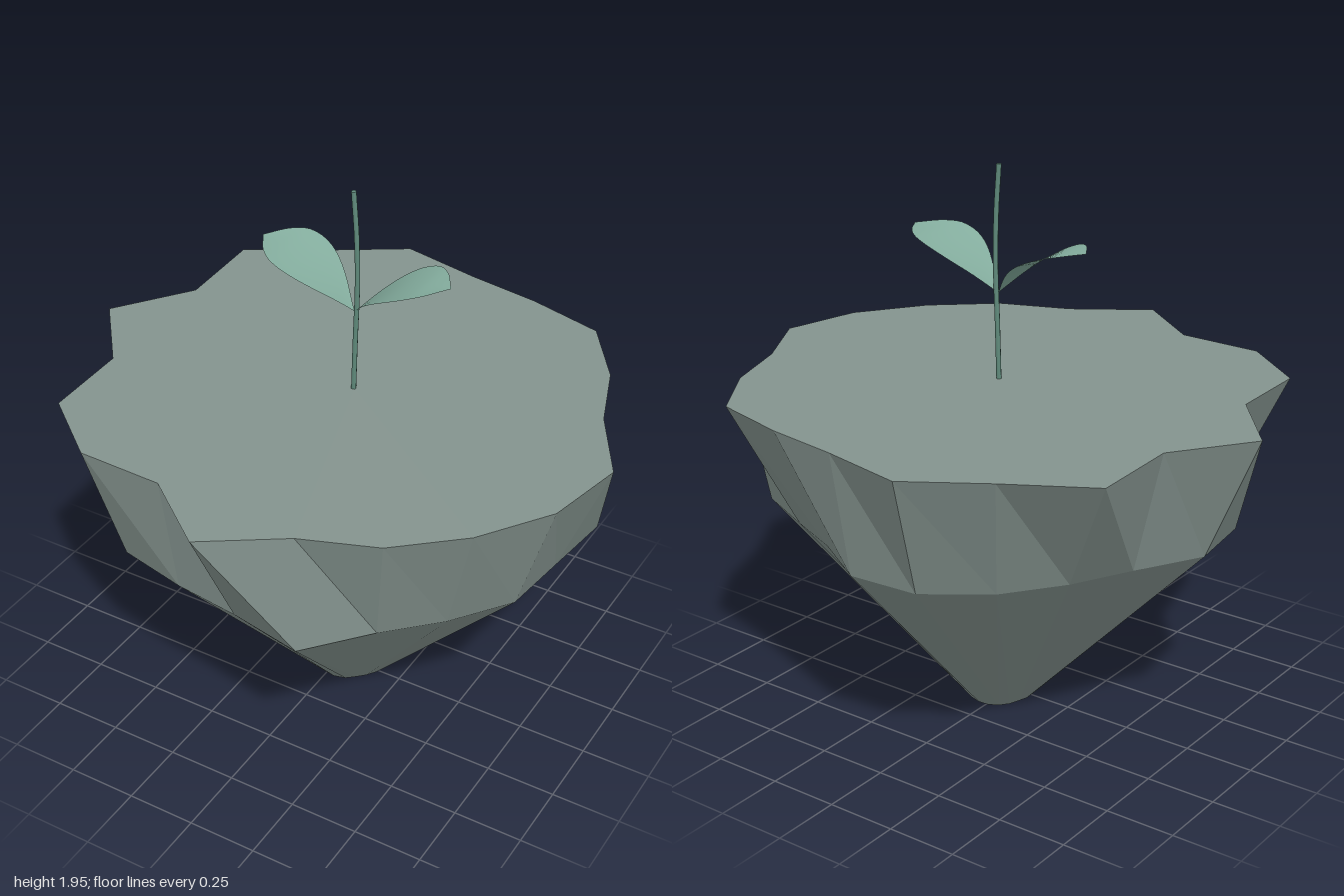
import * as THREE from 'three';

const CX = 0.035, CZ = -0.03; // axis of the island

const mat = (name, color, opts = {}) => new THREE.MeshStandardMaterial({ name, color, ...opts });

function part(name, geometry, material) {
  const mesh = new THREE.Mesh(geometry, material);
  mesh.name = name;
  return mesh;
}

// Radii of the jagged rings, one per 18 degrees starting at +x and turning to +z
const RIM = [0.965, 0.95, 0.912, 0.893, 0.862, 0.998, 0.838, 0.972, 1.005, 0.865,
  1.035, 0.883, 1.057, 0.97, 1.0, 0.884, 0.883, 0.944, 0.889, 0.853];
const SHOULDER = [0.79, 0.80, 0.76, 0.76, 0.868, 0.773, 0.78, 0.845, 0.785, 0.849,
  0.842, 0.75, 0.75, 0.787, 0.825, 0.80, 0.70, 0.713, 0.80, 0.865];
const FOOT = [0.13, 0.13, 0.125, 0.125, 0.135, 0.14, 0.14, 0.15, 0.14, 0.13,
  0.125, 0.12, 0.125, 0.13, 0.13, 0.125, 0.12, 0.12, 0.125, 0.13];

const ring = (radii, y) => radii.map((r, i) => {
  const a = (i / radii.length) * Math.PI * 2;
  return [CX + r * Math.cos(a), y, CZ + r * Math.sin(a)];
});

// Faceted rock: three rings, a flat top and a small flat foot
function rockGeometry() {
  const rings = [ring(FOOT, 0), ring(SHOULDER, 0.75), ring(RIM, 1.2)];
  const n = RIM.length;
  const pos = [];
  for (let i = 0; i < n; i++) {
    const j = (i + 1) % n;
    for (let k = 0; k < 2; k++) {
      const lo = rings[k], up = rings[k + 1];
      pos.push(...lo[j], ...lo[i], ...up[j], ...lo[i], ...up[i], ...up[j]);
    }
    pos.push(CX, 1.2, CZ, ...rings[2][j], ...rings[2][i]);
    pos.push(CX, 0, CZ, ...rings[0][i], ...rings[0][j]);
  }
  const g = new THREE.BufferGeometry();
  g.setAttribute('position', new THREE.Float32BufferAttribute(pos, 3));
  g.computeVertexNormals();
  return g;
}

// Pointed leaf: a plane bent along an arching spine and narrowed to both ends
function leafGeometry(side) {
  const spine = new THREE.CatmullRomCurve3([
    [0, 1.505], [0.08, 1.583], [0.165, 1.643], [0.25, 1.68], [0.31, 1.692], [0.357, 1.697],
  ].map(([x, y]) => new THREE.Vector3(CX + side * x, y, CZ)));
  const g = new THREE.PlaneGeometry(1, 1, 20, 8);
  const p = g.attributes.position;
  for (let i = 0; i < p.count; i++) {
    const t = p.getX(i) + 0.5, v = p.getY(i) * 2;
    const c = spine.getPoint(side > 0 ? t : 1 - t);
    const w = 0.135 * Math.pow(Math.max(0, Math.sin(Math.PI * t)), 1.1);
    p.setXYZ(i, c.x, c.y + 0.008 * v * v * Math.sin(Math.PI * t), c.z - v * w);
  }
  g.computeVertexNormals();
  return g;
}

export function createModel() {
  const rock = mat('rock grey', 0x84938e, { flatShading: true });
  const stemGreen = mat('stem green', 0x5f8a7b);
  const leafGreen = mat('leaf green', 0x84ad9e, { side: THREE.DoubleSide });

  const model = new THREE.Group();
  model.name = 'islandWithSprout';
  model.add(part('rock', rockGeometry(), rock));

  // Sprout
  const sprout = new THREE.Group();
  sprout.name = 'sprout';
  const path = new THREE.CatmullRomCurve3([
    [0.032, 1.19], [0.038, 1.4], [0.045, 1.6], [0.042, 1.78], [0.03, 1.95],
  ].map(([x, y]) => new THREE.Vector3(x, y, CZ)));
  sprout.add(part('stem', new THREE.TubeGeometry(path, 16, 0.009, 8), stemGreen));
  const tip = new THREE.CircleGeometry(0.009, 8).rotateX(-Math.PI / 2).translate(0.03, 1.95, CZ);
  sprout.add(part('stemTip', tip, stemGreen));
  sprout.add(part('leftLeaf', leafGeometry(1), leafGreen));
  sprout.add(part('rightLeaf', leafGeometry(-1), leafGreen));
  model.add(sprout);
  return model;
}
